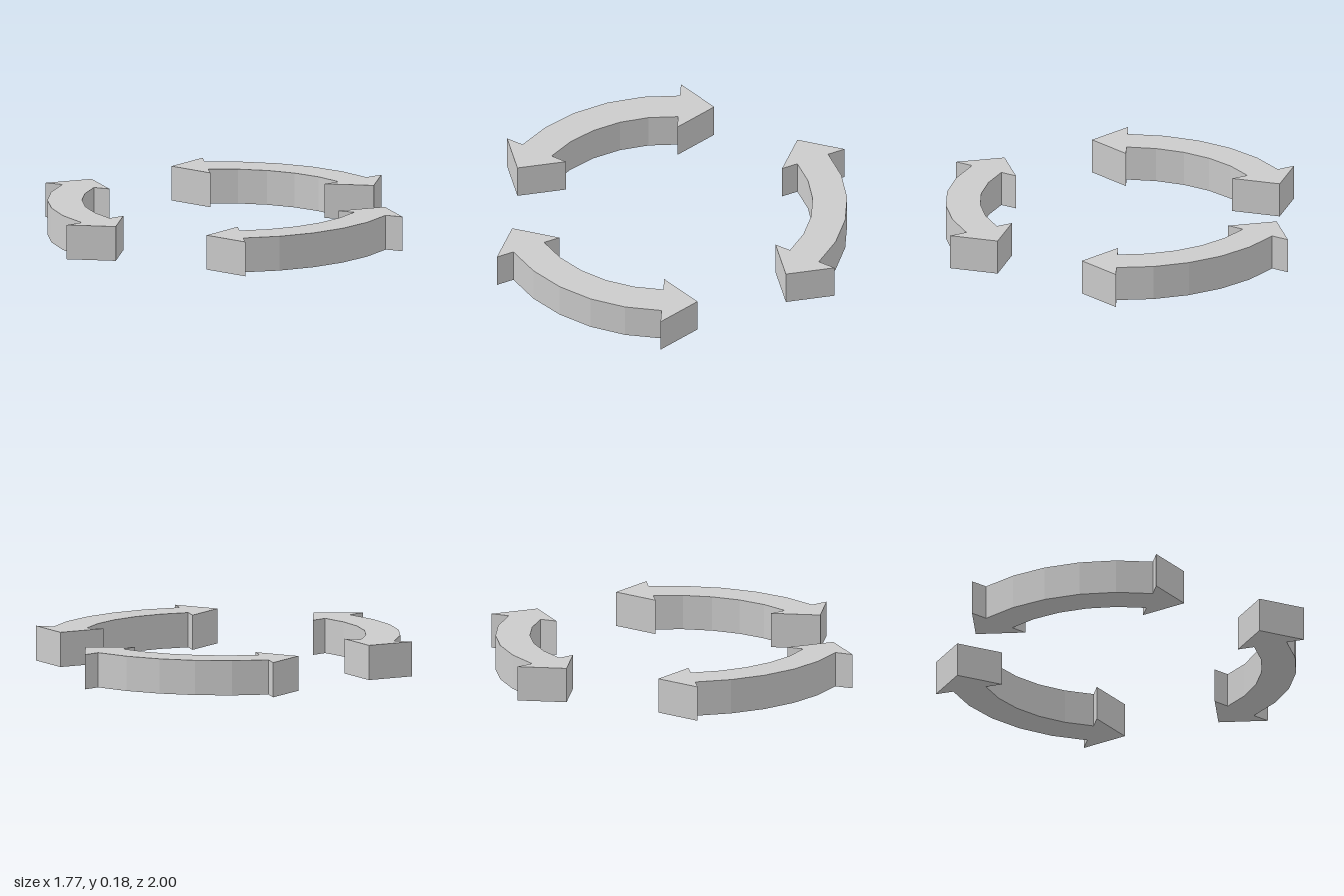
import * as THREE from 'three';

const CENTRE_X = 0.016, HEIGHT = 0.18;
const INNER = 0.728, OUTER = 0.905;            // band radii
const HEAD_INNER = 0.64, HEAD_OUTER = 1.0;     // arrowhead barb radii
const TIP_RADIUS = 0.82, TIP_LENGTH = 0.18;
const HALF = Math.PI / 6, SEGMENTS = 5;

const polar = (r, a) => new THREE.Vector2(r * Math.cos(a), r * Math.sin(a));

// Arrowhead corners at one end of the band, from outer barb to inner barb
function headPoints(side) {
  const a = side * HALF;
  const tip = polar(TIP_RADIUS, a).add(polar(TIP_LENGTH * side, a + Math.PI / 2));
  return [polar(HEAD_OUTER, a), tip, polar(HEAD_INNER, a)];
}

// Faceted arc at a given radius, from -HALF to +HALF
function arcPoints(radius) {
  return Array.from({ length: SEGMENTS + 1 }, (_, i) =>
    polar(radius, -HALF + (2 * HALF * i) / SEGMENTS));
}

// Curved double-headed arrow, lying flat
function arrowGeometry() {
  const outline = [
    ...arcPoints(OUTER),
    ...headPoints(1),
    ...arcPoints(INNER).reverse(),
    ...headPoints(-1).reverse(),
  ];
  const geometry = new THREE.ExtrudeGeometry(new THREE.Shape(outline), {
    depth: HEIGHT, bevelEnabled: false,
  });
  return geometry.rotateX(-Math.PI / 2);
}

export function createModel() {
  const model = new THREE.Group();
  model.name = 'arrowRing';
  const material = new THREE.MeshStandardMaterial({ color: 0xcccccc, flatShading: true });
  const geometry = arrowGeometry();

  // Three arrows spaced evenly around the ring
  ['backArrow', 'rightArrow', 'frontArrow'].forEach((name, i) => {
    const arrow = new THREE.Mesh(geometry, material);
    arrow.name = name;
    arrow.position.x = CENTRE_X;
    arrow.rotation.y = Math.PI / 3 + (i * 2 * Math.PI) / 3;
    model.add(arrow);
  });
  return model;
}
